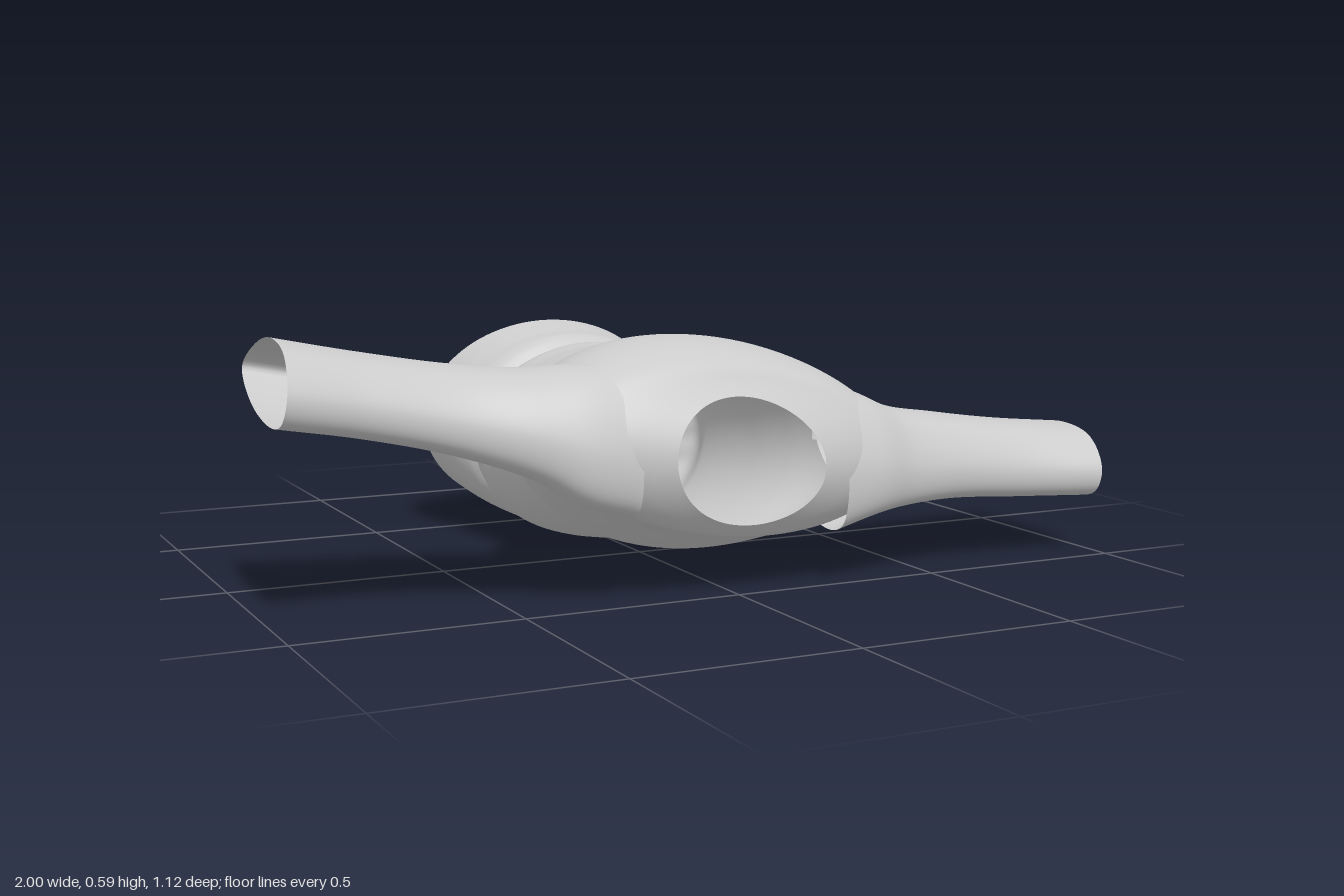
import * as THREE from 'three';

const material = new THREE.MeshStandardMaterial({ color: 0xcccccc, side: THREE.DoubleSide });
const TILT = 0.1;

// Smooth interpolation of a table of rows [t, ...values]
function table(rows) {
  const size = rows[0].length - 1;
  const f = new THREE.CubicInterpolant(rows.map(r => r[0]), rows.flatMap(r => r.slice(1)), size, new Float32Array(size));
  return t => [...f.evaluate(THREE.MathUtils.clamp(t, rows[0][0], rows[rows.length - 1][0]))];
}

// Body along z: left edge, right edge, top, bottom
const bodyAt = table([
  [-0.515, -0.355, 0.315, 0.525, 0.03],
  [-0.42, -0.34, 0.31, 0.505, 0.015],
  [-0.35, -0.31, 0.285, 0.492, 0.01],
  [-0.32, -0.285, 0.26, 0.462, 0.014],
  [-0.285, -0.31, 0.295, 0.485, 0.005],
  [-0.2, -0.305, 0.28, 0.486, 0.008],
  [0, -0.3, 0.315, 0.5, 0.035],
  [0.1, -0.335, 0.355, 0.52, 0.045],
  [0.2, -0.41, 0.41, 0.543, 0.05],
  [0.3, -0.44, 0.44, 0.553, 0.08],
  [0.4, -0.44, 0.44, 0.535, 0.115],
  [0.46, -0.42, 0.42, 0.51, 0.125],
  [0.5, -0.37, 0.37, 0.49, 0.13],
  [0.54, -0.27, 0.27, 0.46, 0.145],
  [0.56, -0.18, 0.18, 0.44, 0.16],
]);

// Sleeves along |x|: back z, front z, top y, bottom y
const sleeveAt = {
  '-1': table([
    [0.25, 0.2, 0.54, 0.51, 0.19],
    [0.36, 0.195, 0.535, 0.512, 0.225],
    [0.45, 0.185, 0.515, 0.508, 0.28],
    [0.6, 0.155, 0.478, 0.52, 0.335],
    [0.8, 0.138, 0.472, 0.553, 0.385],
    [0.985, 0.13, 0.493, 0.59, 0.42],
  ]),
  '1': table([
    [0.25, 0.2, 0.54, 0.46, 0.12],
    [0.36, 0.195, 0.535, 0.415, 0.148],
    [0.45, 0.185, 0.505, 0.378, 0.155],
    [0.6, 0.155, 0.478, 0.35, 0.157],
    [0.8, 0.138, 0.472, 0.32, 0.145],
    [0.985, 0.13, 0.497, 0.302, 0.138],
  ]),
};

// Flattened cross-section of a sleeve, pointed toward the back
const sleeveRing = new THREE.CatmullRomCurve3([
  [-1, 0.1], [-0.55, 0.75], [0, 1], [0.6, 0.8], [1, -0.1], [0.9, -0.85], [0.55, -1], [-0.35, -0.7],
].map(([u, v]) => new THREE.Vector3(u, v, 0)), true);

// How far a point is from the axis of each tube (below 1 is inside)
function bodyDistance(p) {
  const [l, r, top, bot] = bodyAt(p.z);
  const dx = (p.x - (l + r) / 2) / ((r - l) / 2);
  const dy = (p.y + TILT * p.x - (top + bot) / 2) / ((top - bot) / 2);
  return Math.hypot(dx, dy);
}
function sleeveDistance(p) {
  if (Math.abs(p.x) < 0.27) return 9;
  const [z0, z1, top, bot] = sleeveAt[p.x < 0 ? -1 : 1](Math.abs(p.x));
  return Math.hypot((p.z - (z0 + z1) / 2) / ((z1 - z0) / 2), (p.y - (top + bot) / 2) / ((top - bot) / 2));
}

// Open tube from rings of points, leaving out quads that are hidden in a joint
function loft(name, rows, segs, point, hidden, flip) {
  const pts = [], index = [];
  for (let i = 0; i <= rows; i++)
    for (let j = 0; j < segs; j++) pts.push(point(i / rows, j / segs));
  for (let i = 0; i < rows; i++) {
    for (let j = 0; j < segs; j++) {
      const a = i * segs + j, b = i * segs + (j + 1) % segs, c = a + segs, d = b + segs;
      const mid = pts[a].clone().add(pts[d]).multiplyScalar(0.5);
      if (hidden(mid)) continue;
      index.push(...(flip ? [a, c, b, b, c, d] : [a, b, c, b, d, c]));
    }
  }
  const geometry = new THREE.BufferGeometry().setFromPoints(pts);
  geometry.setIndex(index);
  geometry.computeVertexNormals();
  const mesh = new THREE.Mesh(geometry, material);
  mesh.name = name;
  return mesh;
}

export function createModel() {
  const group = new THREE.Group();
  group.name = 'shirt';

  // Body from the hem, over the gathered waistband, to the neckline
  group.add(loft('body', 120, 96, (s, k) => {
    const t = THREE.MathUtils.lerp(-0.515, 0.56, s), a = k * Math.PI * 2;
    const [l, r, top, bot] = bodyAt(t);
    const gather = Math.exp(-(((t + 0.305) / 0.025) ** 2));
    const ripple = 1 - 0.02 * gather * (0.5 + 0.5 * Math.sin(a * 17 + 2 * Math.sin(a * 5)));
    const x = (l + r) / 2 + (r - l) / 2 * Math.cos(a) * ripple;
    const y = (top + bot) / 2 + (top - bot) / 2 * Math.sin(a) * ripple;
    // The hem slants back at the bottom, the neckline dips at top and bottom
    const hem = 0.05 * (0.5 - 0.5 * Math.sin(a)) * (1 - THREE.MathUtils.smoothstep(t, -0.515, -0.38));
    const neck = 0.045 * Math.sin(a) ** 2 * THREE.MathUtils.smoothstep(t, 0.45, 0.56);
    const tilt = TILT * THREE.MathUtils.smoothstep(t, -0.3, 0.2);
    return new THREE.Vector3(x, y - tilt * x, t - hem - neck);
  }, p => sleeveDistance(p) < 0.75));

  // Sleeves, each open at the cuff and joined to an armhole
  for (const side of [-1, 1]) {
    group.add(loft(side > 0 ? 'leftSleeve' : 'rightSleeve', 60, 64, (s, k) => {
      const t = THREE.MathUtils.lerp(0.25, 0.985, s);
      const [z0, z1, top, bot] = sleeveAt[side](t);
      const p = sleeveRing.getPoint(k);
      const dy = (top - bot) / 2 * p.y;
      return new THREE.Vector3(side * t + 0.15 * dy * s, (top + bot) / 2 + dy, (z0 + z1) / 2 + (z1 - z0) / 2 * p.x);
    }, p => p.z < 0.5 && bodyDistance(p) < 0.9, side < 0));
  }
  return group;
}
